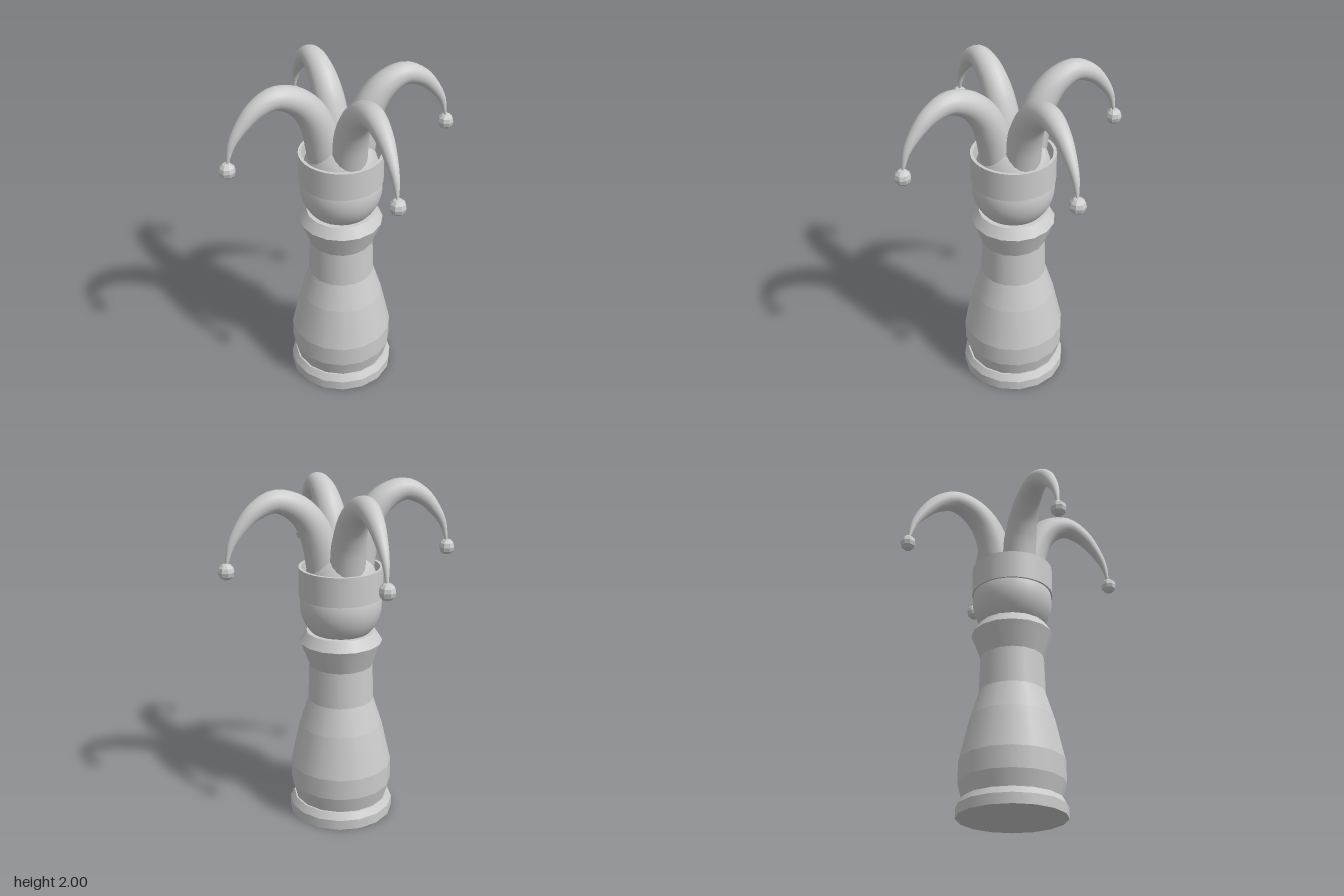
import * as THREE from 'three';
import { mergeGeometries } from 'three/addons/utils/BufferGeometryUtils.js';

const material = new THREE.MeshStandardMaterial({ color: 0xcccccc });

function mesh(name, geometry, parent) {
  const m = new THREE.Mesh(geometry, material);
  m.name = name;
  parent.add(m);
  return m;
}

// Turned shape whose rings are sharp: one lathe strip per profile segment
function turned(profile, sides) {
  const points = profile.map(([r, y]) => new THREE.Vector2(r, y));
  const strips = [];
  for (let i = 1; i < points.length; i++) {
    strips.push(new THREE.LatheGeometry([points[i - 1], points[i]], sides));
  }
  return mergeGeometries(strips);
}

// Curved horn along +x, a tube narrowed towards its tip
function hornGeometry() {
  const curve = new THREE.CatmullRomCurve3([
    [0.09, 1.52], [0.13, 1.7], [0.185, 1.82], [0.27, 1.905], [0.38, 1.94],
    [0.49, 1.895], [0.57, 1.815], [0.63, 1.72], [0.66, 1.6],
  ].map(([x, y]) => new THREE.Vector3(x, y, 0)));
  const rings = 32, sides = 20;
  const geometry = new THREE.TubeGeometry(curve, rings, 1, sides);
  const position = geometry.attributes.position;
  const v = new THREE.Vector3();
  for (let i = 0; i <= rings; i++) {
    const u = i / rings;
    const centre = curve.getPointAt(u);
    const radius = 0.1 * (1 - Math.pow(u, 1.45)) + 0.004;
    for (let j = 0; j <= sides; j++) {
      const k = i * (sides + 1) + j;
      v.fromBufferAttribute(position, k).sub(centre).multiplyScalar(radius).add(centre);
      position.setXYZ(k, v.x, v.y, v.z);
    }
  }
  return geometry;
}

export function createModel() {
  const model = new THREE.Group();
  model.name = 'jesterChessPiece';

  // Foot, body and collar
  mesh('body', turned([
    [0, 0], [0.31, 0], [0.31, 0.06], [0.285, 0.1], [0.275, 0.1], [0.3, 0.195],
    [0.3, 0.32], [0.243, 0.57], [0.192, 0.73], [0.185, 0.945], [0.24, 1.09],
    [0.2, 1.15], [0, 1.15],
  ], 16), model);

  // Round head and the cap dome inside the band
  const head = mesh('head', new THREE.SphereGeometry(0.235, 32, 20), model);
  head.position.y = 1.31;
  const dome = mesh('capDome', new THREE.SphereGeometry(0.215, 32, 10, 0, Math.PI * 2, 0, Math.PI / 2), model);
  dome.scale.y = 1.2;
  dome.position.y = 1.4;

  // Hat band with an open, raised rim
  mesh('hatBand', turned([
    [0.21, 1.36], [0.24, 1.36], [0.24, 1.53], [0.222, 1.53], [0.215, 1.4],
  ], 32), model);

  // Four horns with a faceted bell on each tip
  const horn = hornGeometry();
  const bell = new THREE.SphereGeometry(0.047, 8, 6).toNonIndexed();
  bell.computeVertexNormals();
  [-0.015, -0.005, 0, -0.012].forEach((drop, i) => {
    const arm = new THREE.Group();
    arm.name = 'hatHorn' + (i + 1);
    arm.rotation.y = i * Math.PI / 2;
    arm.position.y = drop;
    mesh('horn', horn, arm);
    mesh('bell', bell, arm).position.set(0.66, 1.58, 0);
    model.add(arm);
  });

  return model;
}
